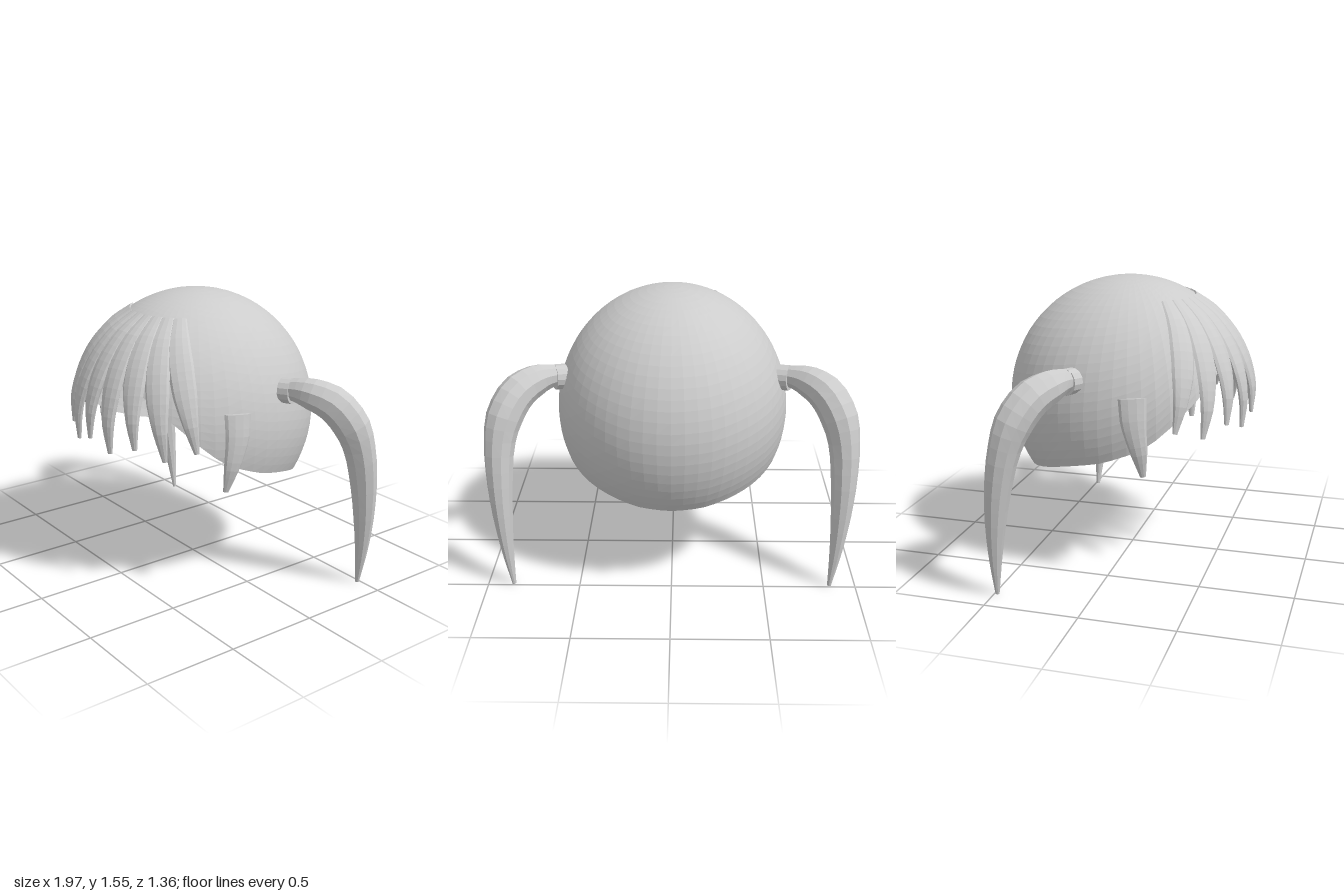
import * as THREE from 'three';

const CENTRE = new THREE.Vector3(0, 0.88, -0.01);
const RADII = new THREE.Vector3(0.63, 0.67, 0.67);

// Point on the head ellipsoid: azimuth from the front, polar angle from the crown
function onHead(azimuth, polar, lift = 0) {
  return new THREE.Vector3(
    (RADII.x + lift) * Math.sin(polar) * Math.sin(azimuth),
    (RADII.y + lift) * Math.cos(polar),
    (RADII.z + lift) * Math.sin(polar) * Math.cos(azimuth)
  ).add(CENTRE);
}

// Linear interpolation through [key, value] pairs
function lookup(table, key) {
  for (let i = 1; i < table.length; i++) {
    const [k0, v0] = table[i - 1], [k1, v1] = table[i];
    if (key <= k1) return v0 + (v1 - v0) * (key - k0) / (k1 - k0);
  }
  return table[table.length - 1][1];
}

function buildGeometry(positions, index) {
  const geometry = new THREE.BufferGeometry();
  geometry.setAttribute('position', new THREE.Float32BufferAttribute(positions, 3));
  geometry.setIndex(index);
  geometry.computeVertexNormals();
  return geometry;
}

// Closed lock of hair: elliptical sections swept along a smooth path.
// sizes holds [half width, half thickness] for each path point.
function sweepLock(points, sizes, facing, steps, sides) {
  const curve = new THREE.CatmullRomCurve3(points);
  const widths = sizes.map((s, i) => [i, s[0]]);
  const depths = sizes.map((s, i) => [i, s[1]]);
  const positions = [], index = [];
  for (let i = 0; i <= steps; i++) {
    const t = i / steps, p = curve.getPoint(t), tangent = curve.getTangent(t);
    const normal = facing(p).addScaledVector(tangent, -facing(p).dot(tangent)).normalize();
    const across = new THREE.Vector3().crossVectors(normal, tangent);
    const w = lookup(widths, t * (points.length - 1));
    const d = lookup(depths, t * (points.length - 1));
    for (let j = 0; j < sides; j++) {
      const a = j / sides * Math.PI * 2;
      const v = p.clone().addScaledVector(across, w * Math.cos(a)).addScaledVector(normal, d * Math.sin(a));
      positions.push(v.x, v.y, v.z);
    }
  }
  for (let i = 0; i < steps; i++) {
    for (let j = 0; j < sides; j++) {
      const a = i * sides + j, b = i * sides + (j + 1) % sides;
      index.push(a, b, a + sides, b, b + sides, a + sides);
    }
  }
  const last = steps * sides;
  for (let j = 1; j < sides - 1; j++) {
    index.push(0, j + 1, j, last, last + j, last + j + 1);
  }
  return buildGeometry(positions, index);
}

// Open shell whose rim rises over the forehead and dips at the nape
function capGeometry() {
  const rim = [[0, 1.12], [0.5, 1.2], [0.85, 1.45], [1.09, 1.66], [1.245, 1.77], [1.55, 1.89],
    [1.885, 1.97], [2.18, 2.05], [2.79, 2.18], [Math.PI, 2.2]];
  const around = 56, down = 26, positions = [], index = [];
  for (let i = 0; i <= down; i++) {
    for (let j = 0; j < around; j++) {
      const a = j / around * Math.PI * 2;
      const folded = a > Math.PI ? Math.PI * 2 - a : a;
      const p = onHead(a, lookup(rim, folded) * i / down);
      positions.push(p.x, p.y, p.z);
    }
  }
  for (let i = 0; i < down; i++) {
    for (let j = 0; j < around; j++) {
      const a = i * around + j, b = i * around + (j + 1) % around;
      if (i > 0) index.push(a, a + around, b);
      index.push(b, a + around, b + around);
    }
  }
  return buildGeometry(positions, index);
}

export function createModel() {
  const hair = new THREE.MeshStandardMaterial({ color: 0xcccccc, flatShading: true, side: THREE.DoubleSide });
  hair.name = 'hairGrey';
  const model = new THREE.Group();
  model.name = 'hairpiece';
  const add = (name, geometry, parent = model) => {
    const mesh = new THREE.Mesh(geometry, hair);
    mesh.name = name;
    parent.add(mesh);
    return mesh;
  };
  const outward = p => p.clone().sub(CENTRE).normalize();

  add('cap', capGeometry());

  // Fringe: nine tapering locks fanning over the forehead, long and short in turn
  const fringe = new THREE.Group();
  fringe.name = 'fringe';
  model.add(fringe);
  const fringeSizes = [[0.035, 0.008], [0.055, 0.016], [0.066, 0.02], [0.062, 0.022], [0.04, 0.022], [0.014, 0.01]];
  for (let k = -4; k <= 4; k++) {
    const tipAzimuth = k * 0.245;
    const tipPolar = k % 2 ? 1.705 : 1.635;
    const path = fringeSizes.map((s, i) => {
      const t = i / (fringeSizes.length - 1);
      return onHead(tipAzimuth * (0.76 + 0.24 * t), 0.55 + (tipPolar - 0.55) * t, 0.002 + 0.008 * t);
    });
    add('fringeLock', sweepLock(path, fringeSizes, outward, 16, 10), fringe);
  }

  for (const side of [1, -1]) {
    const label = side > 0 ? 'left' : 'right';
    const at = (x, y, z) => new THREE.Vector3(side * x, y, z);

    // Short lock in front of the ear
    add(label + 'SideLock', sweepLock(
      [at(0.6, 1.025, 0.165), at(0.612, 0.9, 0.175), at(0.603, 0.75, 0.2), at(0.573, 0.61, 0.215)],
      [[0.072, 0.022], [0.066, 0.025], [0.045, 0.023], [0.015, 0.01]], outward, 10, 10));

    // Tie where the bunch leaves the cap
    const tie = add(label + 'Tie', new THREE.CylinderGeometry(0.068, 0.068, 0.06, 14));
    tie.position.copy(at(0.6, 1.09, -0.165));
    tie.quaternion.setFromUnitVectors(new THREE.Vector3(0, 1, 0), at(0.92, 0.05, -0.38).normalize());

    // Hanging bunch, round and tapering to a point
    const radii = [0.05, 0.062, 0.085, 0.1, 0.1, 0.083, 0.07, 0.054, 0.034, 0.011];
    add(label + 'Bunch', sweepLock(
      [at(0.57, 1.09, -0.15), at(0.64, 1.1, -0.18), at(0.72, 1.09, -0.22), at(0.81, 1.045, -0.29),
        at(0.875, 0.94, -0.355), at(0.905, 0.8, -0.4), at(0.91, 0.6, -0.438), at(0.902, 0.4, -0.462),
        at(0.885, 0.2, -0.477), at(0.86, 0.002, -0.485)],
      radii.map(r => [r, r * 0.95]), () => at(0.6, 0, 0.8), 22, 10));
  }
  return model;
}
